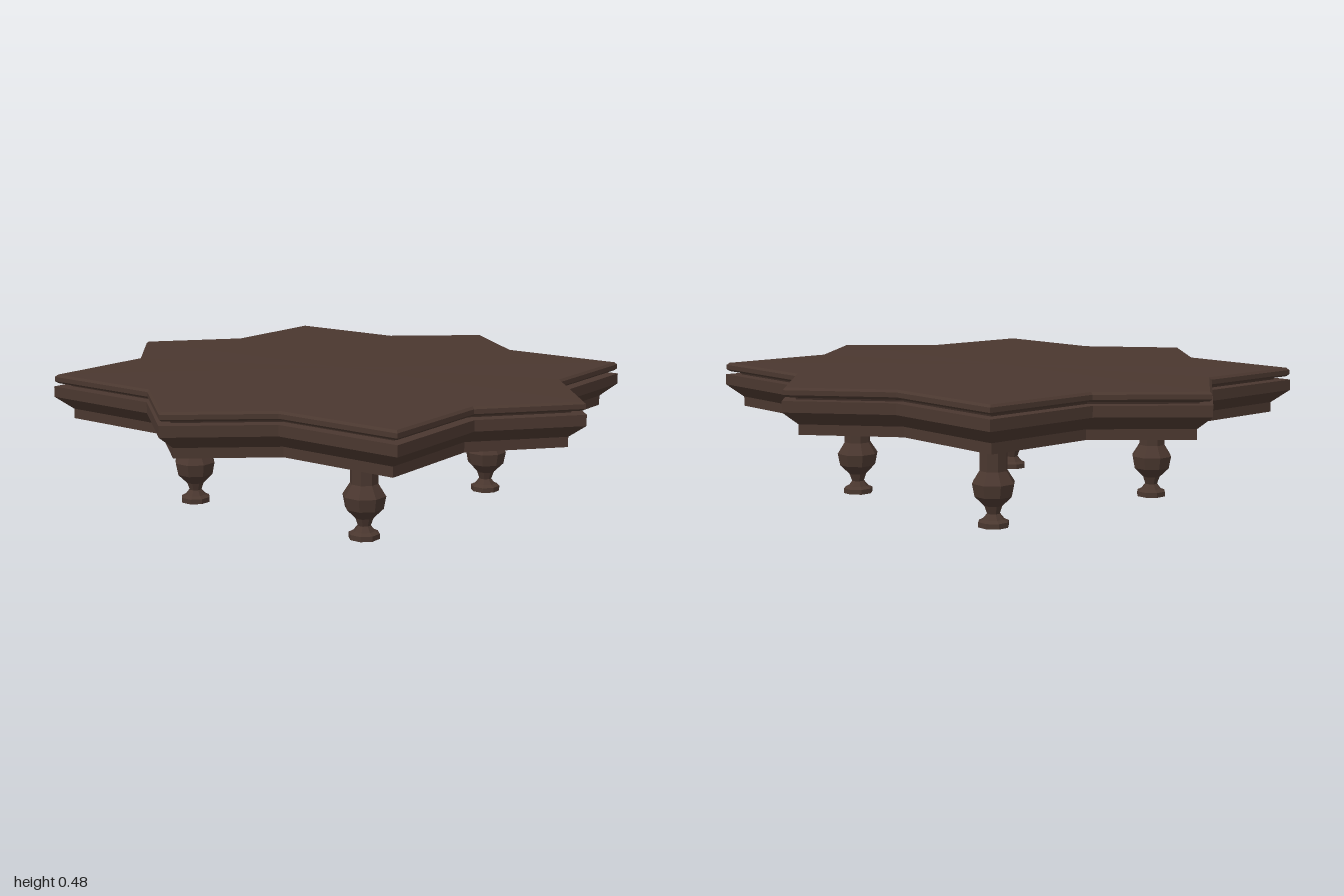
import * as THREE from 'three';

// Eight-pointed outline, walked from +x towards +z
const quarter = [[1, 0], [0.75, 0.29], [0.75, 0.722], [0.29, 0.722], [0, 0.965]];
const mirrored = quarter.slice(0, 4).reverse().map(([x, z]) => [-x, z]);
const half = [...quarter, ...mirrored];
const star = [...half, ...half.slice(1, -1).reverse().map(([x, z]) => [x, -z])];

// Stacks scaled copies of the star; profile entries are [scale, y], bottom to top
function starLoft(profile) {
  const pos = [];
  const point = (i, [s, y]) => {
    const [x, z] = star[i % star.length];
    return [x * s, y, z * s];
  };
  for (let k = 0; k < profile.length - 1; k++) {
    const lo = profile[k], hi = profile[k + 1];
    for (let i = 0; i < star.length; i++) {
      const a = point(i, lo), b = point(i + 1, lo), c = point(i + 1, hi), d = point(i, hi);
      if (hi[0] > 0) pos.push(...a, ...d, ...c);
      if (lo[0] > 0) pos.push(...a, ...c, ...b);
    }
  }
  const geo = new THREE.BufferGeometry();
  geo.setAttribute('position', new THREE.Float32BufferAttribute(pos, 3));
  geo.computeVertexNormals();
  return geo;
}

// Eight-sided turned leg with flats facing the axes
function legGeometry() {
  const profile = [
    [0, 0], [0.05, 0], [0.05, 0.018], [0.035, 0.026], [0.021, 0.045],
    [0.03, 0.072], [0.062, 0.106], [0.07, 0.15], [0.045, 0.192],
    [0.045, 0.275], [0.071, 0.275], [0.071, 0.325],
  ].map(([r, y]) => new THREE.Vector2(r / Math.cos(Math.PI / 8), y));
  const geo = new THREE.LatheGeometry(profile, 8, Math.PI / 8).toNonIndexed();
  geo.computeVertexNormals();
  return geo;
}

export function createModel() {
  const group = new THREE.Group();
  const wood = new THREE.MeshStandardMaterial({ color: 0x4a372f });
  wood.name = 'darkWood';

  const add = (name, geo, x = 0, z = 0) => {
    const mesh = new THREE.Mesh(geo, wood);
    mesh.name = name;
    mesh.position.set(x, 0, z);
    group.add(mesh);
  };

  // Moulded apron under the top
  add('apron', starLoft([
    [0, 0.32], [0.935, 0.32], [0.935, 0.355], [1, 0.4], [1, 0.438], [0, 0.438],
  ]));

  // Bevelled top board, separated from the apron by a groove
  add('tabletop', starLoft([
    [0, 0.436], [0.94, 0.436], [0.945, 0.444], [0.985, 0.45], [0.996, 0.457],
    [0.996, 0.473], [0.985, 0.481], [0, 0.484],
  ]));

  // Four legs
  const leg = legGeometry();
  for (const [sx, side] of [[1, 'Left'], [-1, 'Right']]) {
    for (const [sz, end] of [[1, 'front'], [-1, 'back']]) {
      add(`${end}${side}Leg`, leg, sx * 0.384, sz * 0.388);
    }
  }
  return group;
}
